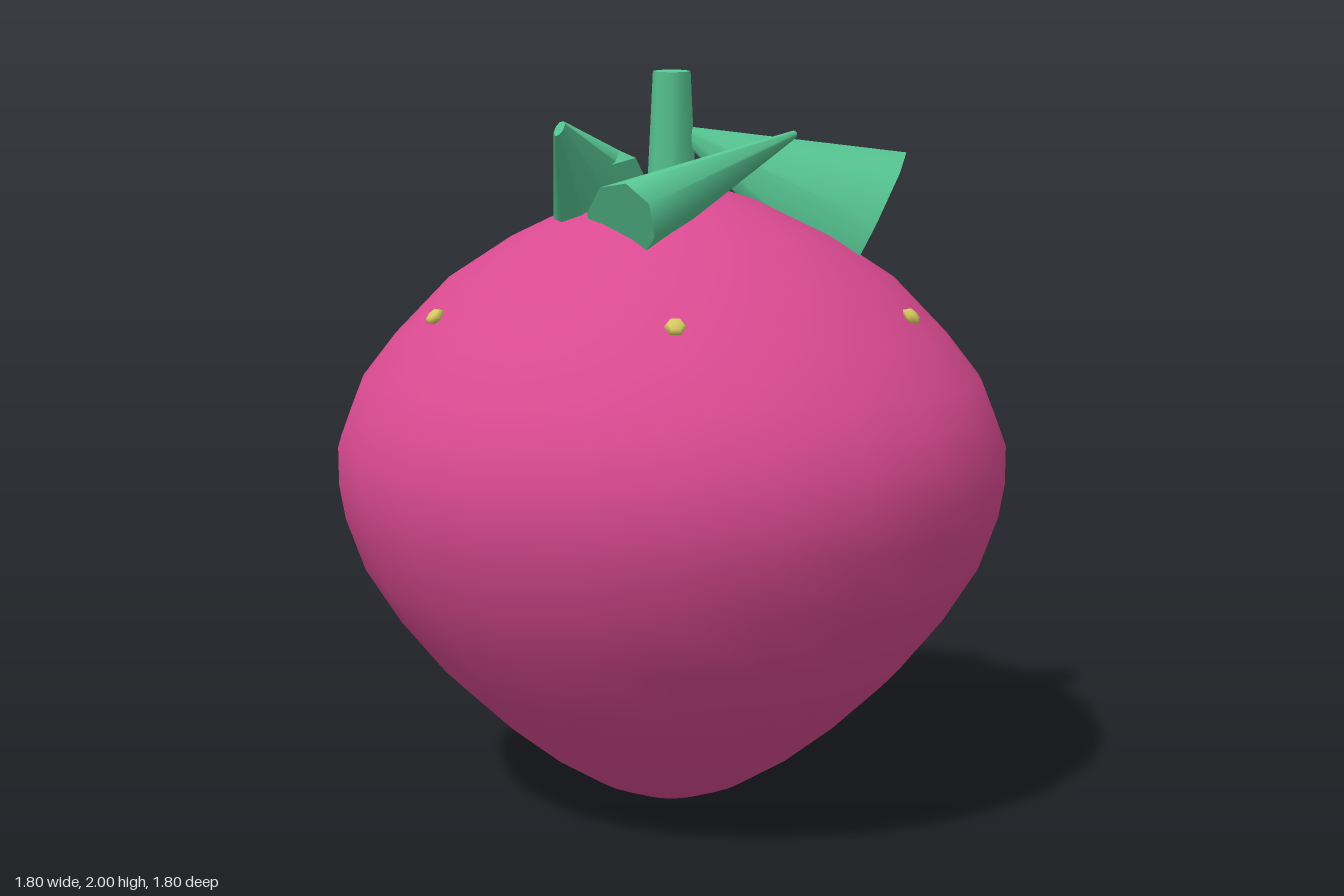
import * as THREE from 'three';

export function createModel() {
  const model = new THREE.Group();
  const skin = new THREE.MeshStandardMaterial({ color: 0xd94a90 });
  skin.name = 'berry pink';
  const green = new THREE.MeshStandardMaterial({ color: 0x58c894 });
  green.name = 'leaf green';
  const yellow = new THREE.MeshStandardMaterial({ color: 0xd8c860 });
  yellow.name = 'seed yellow';

  const add = (name, geometry, material) => {
    const mesh = new THREE.Mesh(geometry, material);
    mesh.name = name;
    model.add(mesh);
    return mesh;
  };

  // Fruit body: turned profile, radius and height from bottom to top
  const profile = [
    [0, 0.005], [0.11, 0.025], [0.22, 0.07], [0.35, 0.152], [0.49, 0.265], [0.63, 0.4],
    [0.746, 0.545], [0.836, 0.69], [0.885, 0.83], [0.9, 0.92], [0.9, 1.02], [0.87, 1.1],
    [0.836, 1.185], [0.746, 1.3], [0.6, 1.45], [0.43, 1.56], [0.23, 1.655], [0.1, 1.695], [0, 1.705],
  ].map(([r, y]) => new THREE.Vector2(r, y));
  add('fruitBody', new THREE.LatheGeometry(profile, 24), skin);

  // Stem, leaning slightly forward
  const stem = add('stem', new THREE.CylinderGeometry(0.05, 0.07, 0.4, 8), green);
  stem.position.set(0, 1.795, -0.005);
  stem.rotation.x = 0.14;

  // Leaves: flattened tapered cones; axis points to the narrow tip, wide is the broad direction
  const leafGeometry = new THREE.CylinderGeometry(0.022, 0.21, 0.55, 8);
  const addLeaf = (angle, axis, wide) => {
    const y = new THREE.Vector3(...axis).normalize();
    const z = new THREE.Vector3(...wide);
    z.addScaledVector(y, -z.dot(y)).normalize();
    const x = new THREE.Vector3().crossVectors(y, z);
    const leaf = add('leaf', leafGeometry, green);
    leaf.quaternion.setFromRotationMatrix(new THREE.Matrix4().makeBasis(x, y, z));
    leaf.scale.x = 0.49;
    const a = THREE.MathUtils.degToRad(angle);
    leaf.position.set(0.29 * Math.cos(a), 1.71, 0.29 * Math.sin(a));
  };
  addLeaf(0, [-0.9, 0.43, 0], [0.43, 0.9, 0]);
  for (const s of [1, -1]) {
    addLeaf(72 * s, [0.81, 0.41, -0.42 * s], [0.32, 0.23, 0.92 * s]);
    addLeaf(144 * s, [-0.16, 0.43, 0.87 * s], [0.45, 0.8, -0.35 * s]);
  }

  // Seeds: a ring of six flattened beads lying on the upper slope
  const seedGeometry = new THREE.SphereGeometry(0.027, 6, 4);
  const up = new THREE.Vector3(0, 1, 0);
  for (let i = 0; i < 6; i++) {
    const a = (i * Math.PI) / 3;
    const normal = new THREE.Vector3(Math.sin(a), 1, Math.cos(a)).normalize();
    const seed = add('seed', seedGeometry, yellow);
    seed.position.set(0.692 * Math.sin(a), 1.367, 0.692 * Math.cos(a));
    seed.quaternion.setFromUnitVectors(up, normal);
    seed.scale.y = 0.55;
  }

  return model;
}
